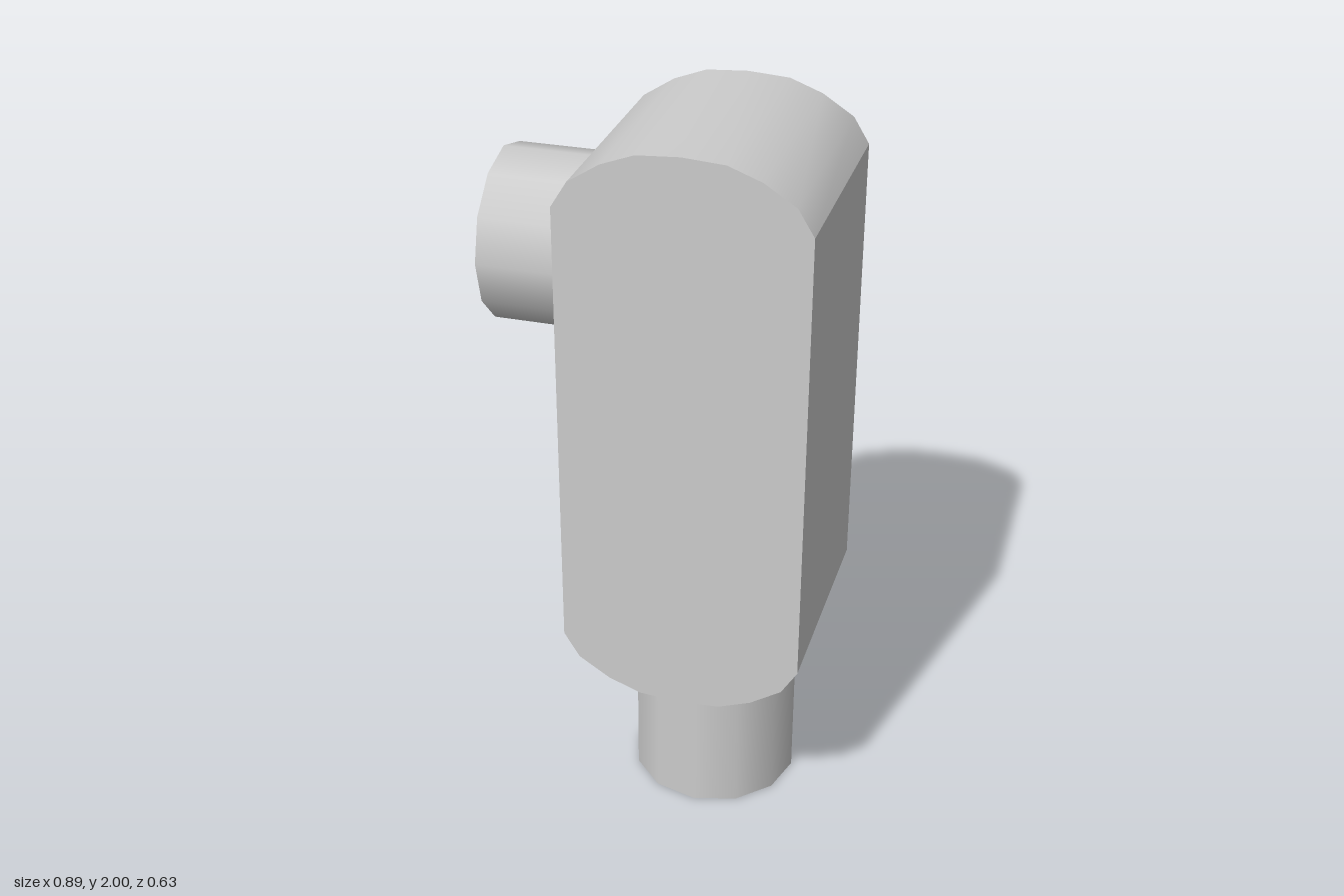
import * as THREE from 'three';
import { toCreasedNormals } from 'three/addons/utils/BufferGeometryUtils.js';

const metal = new THREE.MeshStandardMaterial({ color: 0xcccccc });
metal.name = 'light grey metal';

function part(name, geometry, x, y, z) {
  const mesh = new THREE.Mesh(geometry, metal);
  mesh.name = name;
  mesh.position.set(x, y, z);
  return mesh;
}

export function createModel() {
  const group = new THREE.Group();
  group.name = 'conduitBody';

  // Housing: a tall slab with shallow rounded ends, mirrored in x and y
  const quarter = [[0.327, 0.628], [0.284, 0.698], [0.2, 0.752], [0.112, 0.785], [0, 0.7925]];
  const top = [...quarter, ...quarter.slice(0, -1).reverse().map(([x, y]) => [-x, y])];
  const outline = [...top, ...top.map(([x, y]) => [-x, -y])];
  const shape = new THREE.Shape(outline.map(([x, y]) => new THREE.Vector2(x, y)));
  const body = new THREE.ExtrudeGeometry(shape, { depth: 0.627, bevelEnabled: false });
  body.translate(0, 0, -0.3135);
  group.add(part('housing', toCreasedNormals(body, 0.5), 0.118, 1.2075, -0.001));

  // Bottom hub, running up into the rounded end
  const bottomHub = new THREE.CylinderGeometry(0.233, 0.233, 0.6, 12);
  group.add(part('bottomHub', bottomHub, 0.135, 0.3, -0.0175));

  // Side hub near the top, running into the side wall
  const sideHub = new THREE.CylinderGeometry(0.233, 0.233, 0.35, 12);
  sideHub.rotateZ(Math.PI / 2);
  group.add(part('sideHub', sideHub, -0.273, 1.615, -0.005));

  return group;
}
